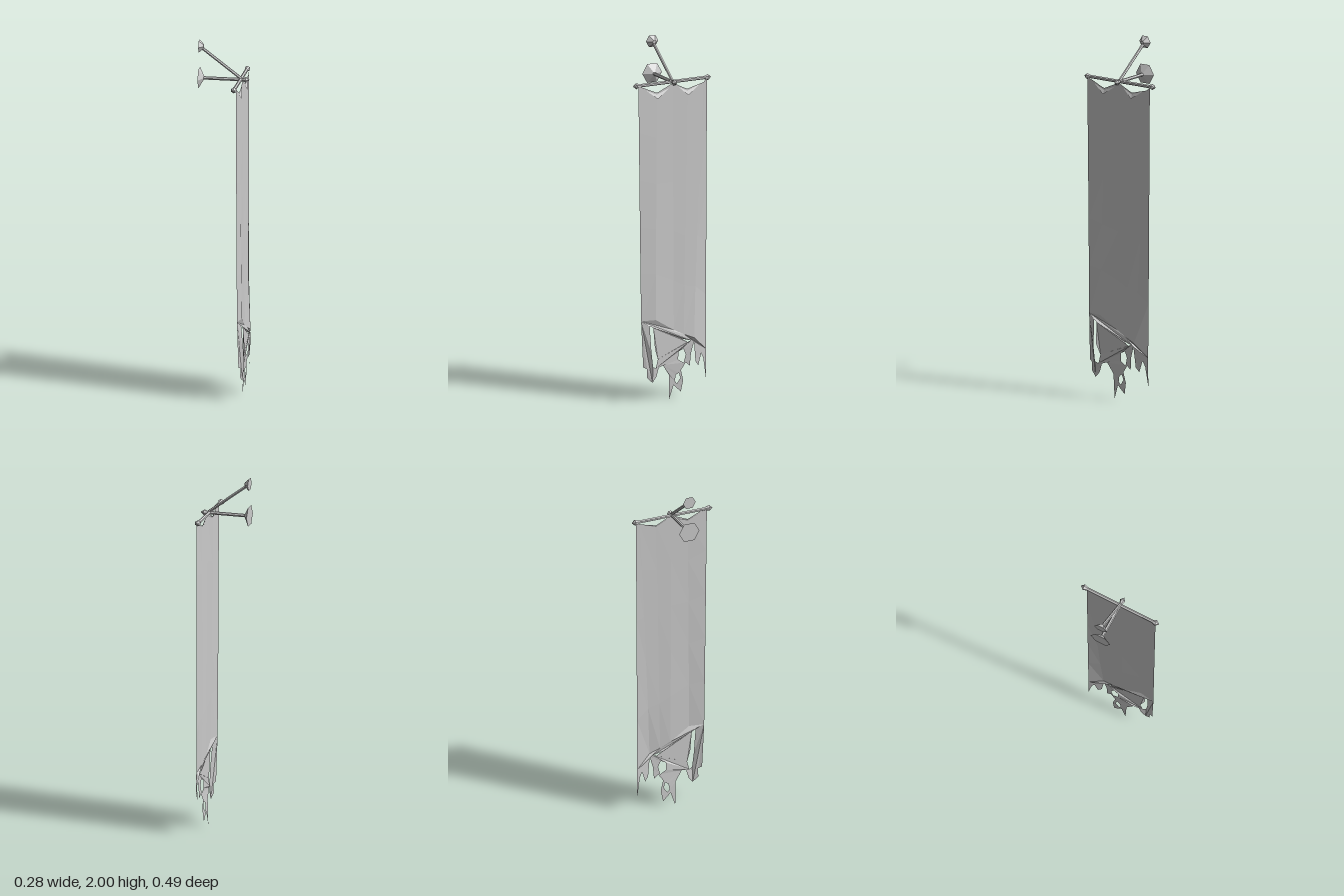
import * as THREE from 'three';

const metal = new THREE.MeshStandardMaterial({ color: 0xcccccc, flatShading: true });
const cloth = new THREE.MeshStandardMaterial({ color: 0xcccccc, flatShading: true, side: THREE.DoubleSide });
const V2 = ([x, y]) => new THREE.Vector2(x, y);

// Six-sided turned part starting at a point; profile lists [radius, distance along dir]
function turned(name, start, dir, profile) {
  const mesh = new THREE.Mesh(new THREE.LatheGeometry(profile.map(V2), 6), metal);
  mesh.name = name;
  mesh.position.set(...start);
  mesh.quaternion.setFromUnitVectors(new THREE.Vector3(0, 1, 0), new THREE.Vector3(...dir).normalize());
  return mesh;
}

// Piecewise linear lookup through [key, value] pairs in rising key order
function lerpTable(table, k) {
  if (k <= table[0][0]) return table[0][1];
  for (let i = 1; i < table.length; i++) {
    const [k0, v0] = table[i - 1], [k1, v1] = table[i];
    if (k <= k1) return v0 + (v1 - v0) * (k - k0) / (k1 - k0);
  }
  return table[table.length - 1][1];
}

// Billow of the cloth: s runs across it (s = -z), y is height
const across = [[-0.21, 0], [-0.14, 0.037], [-0.05, 0.01], [0, 0.014], [0.12, 0.026], [0.2, 0.004]];
const byHeight = [[0, 0.3], [0.15, 0.75], [0.3, 1], [0.46, 0.55], [1.1, 0.25], [1.75, 0.05]];
const depth = (s, y) => 0.101 + lerpTable(across, s) * lerpTable(byHeight, y);

function sheet(name, points, index) {
  const geo = new THREE.BufferGeometry();
  geo.setAttribute('position', new THREE.Float32BufferAttribute(points.flat(), 3));
  geo.setIndex(index);
  geo.computeVertexNormals();
  const mesh = new THREE.Mesh(geo, cloth);
  mesh.name = name;
  return mesh;
}

export function createModel() {
  const model = new THREE.Group();
  const H = 1.787;

  // Wall plates, arm and slanted brace
  const plate = (r) => [[0, 0], [r, 0], [0.011, 0.026], [0, 0.026]];
  model.add(turned('lowerWallPlate', [-0.14, H, 0], [1, 0, 0], plate(0.061)));
  model.add(turned('upperWallPlate', [-0.14, 1.967, 0], [1, 0, 0], plate(0.038)));
  model.add(turned('arm', [-0.13, H, 0], [1, 0, 0], [[0, 0], [0.0095, 0], [0.0095, 0.24], [0, 0.24]]));
  model.add(turned('brace', [-0.13, 1.962, 0], [0.225, -0.17, 0],
    [[0, 0], [0.0085, 0], [0.0085, 0.28], [0, 0.28]]));
  model.add(turned('armFinial', [0.1, H, 0], [1, 0, 0], [[0, 0], [0.008, 0], [0.016, 0.02], [0, 0.04]]));

  // Crossbar with pointed ends
  model.add(turned('crossbar', [0.09, H, -0.205], [0, 0, 1], [[0, 0], [0.0095, 0], [0.0095, 0.41], [0, 0.41]]));
  for (const side of [1, -1]) {
    model.add(turned(side > 0 ? 'leftFinial' : 'rightFinial', [0.09, H, side * 0.2], [0, 0, side],
      [[0, 0], [0.009, 0], [0.017, 0.023], [0, 0.043]]));
  }

  // Upper banner: columns run from the scalloped top to the slanting crease
  const top = [[-0.215, 1.788], [-0.1, 1.738], [0, 1.782], [0.09, 1.738], [0.19, 1.765], [0.212, 1.785]];
  const crease = [[-0.2, 0.46], [-0.115, 0.46], [0, 0.39], [0.06, 0.36], [0.12, 0.335], [0.203, 0.26]];
  const rows = 5, pts = [], idx = [];
  for (let r = 0; r <= rows; r++) {
    top.forEach(([s0, y0], c) => {
      const s = s0 + (crease[c][0] - s0) * r / rows, y = y0 + (crease[c][1] - y0) * r / rows;
      pts.push([depth(s, y), y, -s]);
      if (r < rows && c < top.length - 1) {
        const a = r * top.length + c, b = a + top.length;
        idx.push(a, b, a + 1, b, b + 1, a + 1);
      }
    });
  }
  model.add(sheet('bannerCloth', pts, idx));

  // Torn lower edge with holes, joined to the crease
  const torn = [[-0.19, 0.2], [-0.17, 0.19], [-0.17, 0.14], [-0.14, 0.11], [-0.115, 0.14], [-0.1, 0.19],
    [-0.07, 0.2], [-0.03, 0.14], [-0.026, 0], [0, 0.08], [0.03, 0.05], [0.045, 0.035], [0.057, 0.1],
    [0.042, 0.16], [0.07, 0.2], [0.095, 0.18], [0.1, 0.25], [0.118, 0.315], [0.13, 0.2], [0.15, 0.175],
    [0.17, 0.24], [0.185, 0.21], [0.203, 0.1]];
  const holes = [
    [[-0.155, 0.43], [-0.135, 0.42], [-0.13, 0.3], [-0.107, 0.24], [-0.12, 0.19], [-0.14, 0.2], [-0.15, 0.28]],
    [[0.025, 0.265], [0.055, 0.28], [0.07, 0.245], [0.058, 0.2], [0.025, 0.22]],
    [[0.012, 0.135], [0.03, 0.145], [0.04, 0.115], [0.02, 0.085], [0.006, 0.1]],
    [[0.045, 0.337], [0.1, 0.322], [0.08, 0.315]],
  ];
  const shape = new THREE.Shape([...torn, ...[...crease].reverse()].map(V2));
  shape.holes = holes.map((h) => new THREE.Path(h.map(V2)));
  const hem = new THREE.ShapeGeometry(shape);
  const p = hem.attributes.position;
  for (let i = 0; i < p.count; i++) {
    const s = p.getX(i), y = p.getY(i);
    p.setXYZ(i, depth(s, y), y, -s);
  }
  hem.computeVertexNormals();
  const hemMesh = new THREE.Mesh(hem, cloth);
  hemMesh.name = 'tornHem';
  model.add(hemMesh);

  // Sagging folds under the two scallops
  for (const [a, m, b] of [[-0.17, -0.1, -0.02], [0.03, 0.09, 0.17]]) {
    model.add(sheet('saggingFold', [[0.101, 1.76, -a], [0.113, 1.705, -m], [0.101, 1.76, -b], [0.098, 1.738, -m]],
      [0, 1, 3, 3, 1, 2]));
  }
  return model;
}
